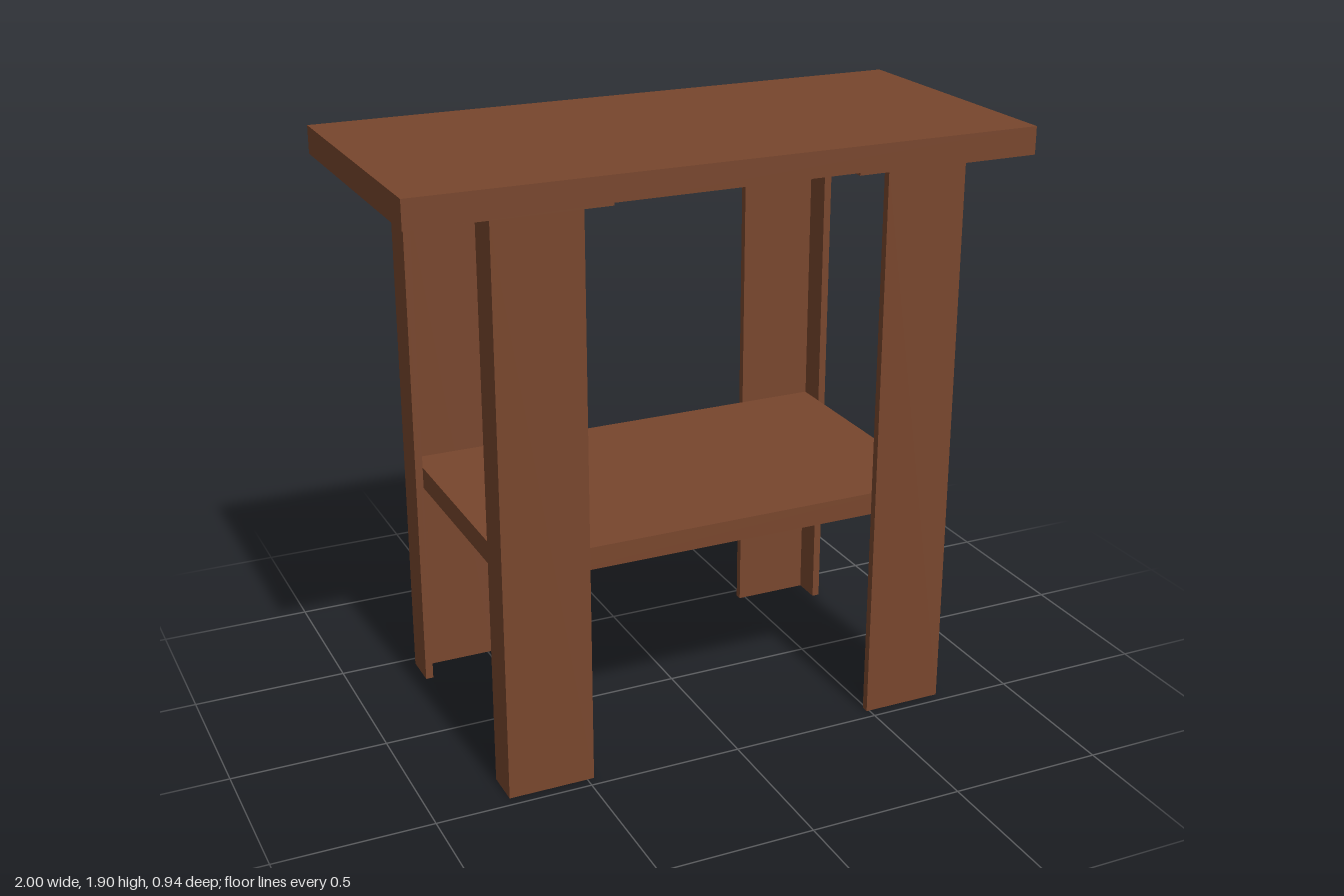
import * as THREE from 'three';

const wood = new THREE.MeshStandardMaterial({ color: 0x78462d });
wood.name = 'brown wood';

const polygon = (points) => new THREE.Shape(points.map(([x, y]) => new THREE.Vector2(x, y)));

function extrude(points, depth) {
  return new THREE.ExtrudeGeometry(polygon(points), { depth, bevelEnabled: false });
}

// L-section post: a wide face board with a side board on its outer edge
function makeLeg(sx, sz, inner) {
  const outer = 0.755, face = 0.465, edge = 0.345, t = 0.025, height = 1.814;
  const section = [
    [inner, face], [outer, face], [outer, edge],
    [outer - t, edge], [outer - t, face - t], [inner, face - t],
  ].map(([x, z]) => [sx * x, -sz * z]);
  const geometry = extrude(section, height);
  geometry.rotateX(-Math.PI / 2); // extrude upward, shape y becomes -z
  return new THREE.Mesh(geometry, wood);
}

export function createModel() {
  const model = new THREE.Group();
  model.name = 'sideTable';

  // Table top, slightly thicker at both ends
  const depth = 0.936, topY = 1.9, endY = 1.812, midY = 1.82, step = 0.39;
  const topGeometry = extrude([
    [-1, endY], [-step, endY], [-step, midY], [step, midY],
    [step, endY], [1, endY], [1, topY], [-1, topY],
  ], depth);
  topGeometry.translate(0, 0, -depth / 2);
  const top = new THREE.Mesh(topGeometry, wood);
  top.name = 'tableTop';
  model.add(top);

  // Lower shelf, held inside the four corner posts
  const shelf = new THREE.Mesh(new THREE.BoxGeometry(1.458, 0.072, 0.88), wood);
  shelf.position.y = 0.735;
  shelf.name = 'shelf';
  model.add(shelf);

  // Legs; the front left one is a little narrower
  for (const [name, sx, sz, inner] of [
    ['frontLeftLeg', 1, 1, 0.49],
    ['frontRightLeg', -1, 1, 0.478],
    ['backLeftLeg', 1, -1, 0.478],
    ['backRightLeg', -1, -1, 0.485],
  ]) {
    const leg = makeLeg(sx, sz, inner);
    leg.name = name;
    model.add(leg);
  }
  return model;
}
